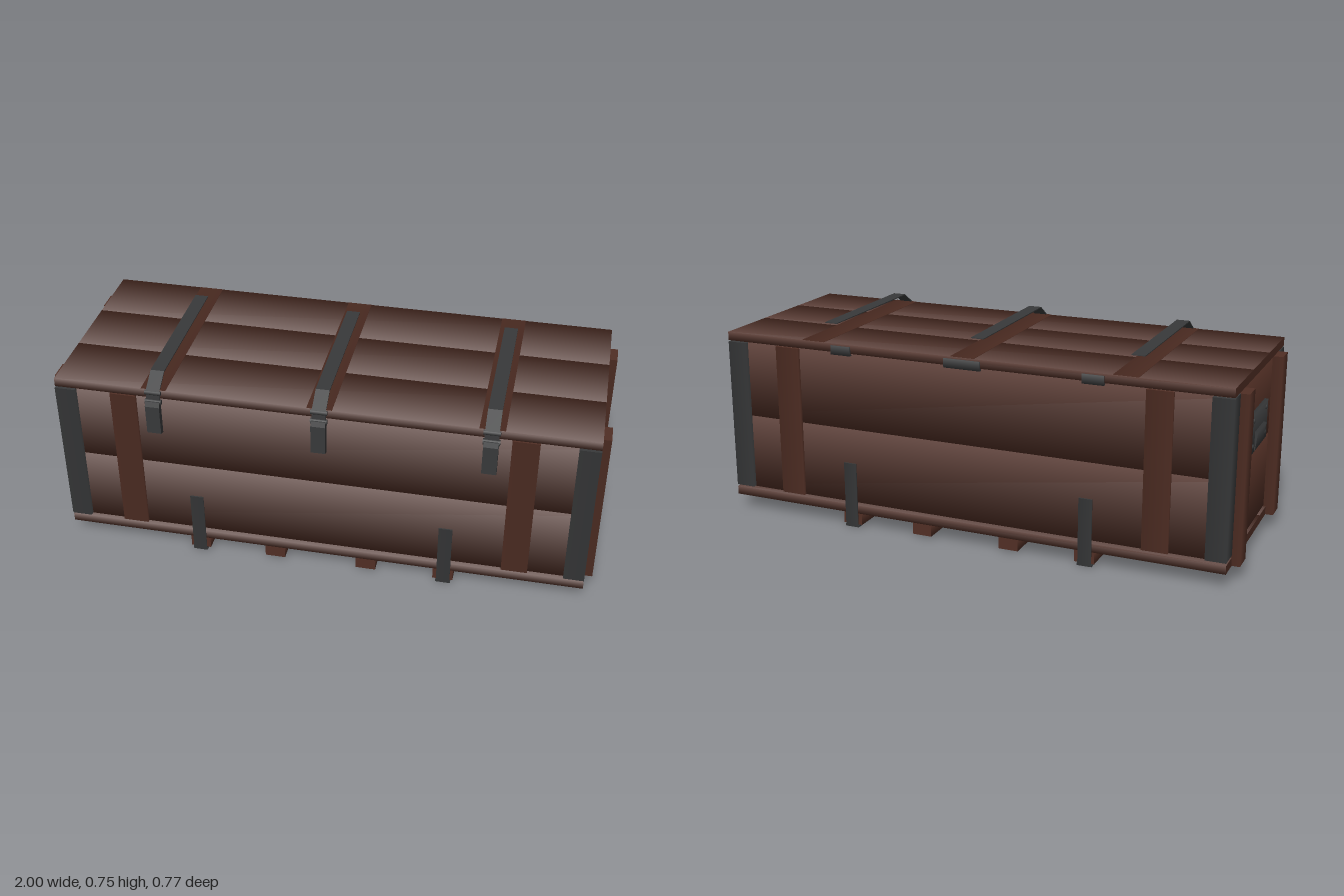
import * as THREE from 'three';

const wood = new THREE.MeshStandardMaterial({ color: 0x502e24 });
wood.name = 'brown wood';
const iron = new THREE.MeshStandardMaterial({ color: 0x38393a });
iron.name = 'dark iron';

const AXES = ['x', 'y', 'z'];

// Box from min/max corners; normals are rounded around its long axis, the ends stay flat.
function board(parent, name, material, axis, [x0, x1], [y0, y1], [z0, z1]) {
  const geo = new THREE.BoxGeometry(x1 - x0, y1 - y0, z1 - z0);
  const pos = geo.attributes.position;
  const nor = geo.attributes.normal;
  const n = new THREE.Vector3();
  const p = new THREE.Vector3();
  for (let i = 0; i < pos.count; i++) {
    n.fromBufferAttribute(nor, i);
    if (Math.abs(n[axis]) > 0.5) continue;
    p.fromBufferAttribute(pos, i);
    for (const a of AXES) n[a] = a === axis ? 0 : Math.sign(p[a]);
    n.normalize();
    nor.setXYZ(i, n.x, n.y, n.z);
  }
  const mesh = new THREE.Mesh(geo, material);
  mesh.name = name;
  mesh.position.set((x0 + x1) / 2, (y0 + y1) / 2, (z0 + z1) / 2);
  parent.add(mesh);
  return mesh;
}

// Closed (z, y) outline extruded across x
function sideProfile(parent, name, points, x, width) {
  const shape = new THREE.Shape(points.map(([z, y]) => new THREE.Vector2(-z, y)));
  const geo = new THREE.ExtrudeGeometry(shape, { depth: width, bevelEnabled: false });
  geo.translate(0, 0, -width / 2);
  geo.rotateY(Math.PI / 2);
  const mesh = new THREE.Mesh(geo, iron);
  mesh.name = name;
  mesh.position.x = x;
  parent.add(mesh);
}

function span(center, width) {
  return [center - width / 2, center + width / 2];
}

function mirrored(a, b, side) {
  return side > 0 ? [a, b] : [-b, -a];
}

export function createModel() {
  const crate = new THREE.Group();
  crate.name = 'crate';

  // Lid and floor, three boards each
  const seams = [-0.382, -0.131, 0.115, 0.362];
  for (let i = 0; i < 3; i++) {
    const z = [seams[i], seams[i + 1]];
    board(crate, 'lidBoard', wood, 'x', [-0.97, 0.97], [0.673, 0.705], z);
    board(crate, 'floorBoard', wood, 'x', [-0.97, 0.97], [0.055, 0.087], z);
  }

  // Walls, two planks high
  for (const y of [[0.093, 0.38], [0.38, 0.668]]) {
    board(crate, 'frontPlank', wood, 'x', [-0.955, 0.955], y, [0.32, 0.35]);
    board(crate, 'backPlank', wood, 'x', [-0.955, 0.955], y, [-0.367, -0.337]);
    for (const s of [1, -1]) {
      board(crate, 'endPlank', wood, 'z', mirrored(0.932, 0.962, s), y, [-0.34, 0.325]);
    }
  }

  for (const s of [1, -1]) {
    // Battens on the long walls
    const bx = mirrored(0.67, 0.765, s);
    board(crate, 'frontBatten', wood, 'y', bx, [0.093, 0.668], [0.34, 0.362]);
    board(crate, 'backBatten', wood, 'y', bx, [0.093, 0.668], [-0.379, -0.357]);

    // Battens on the ends
    const ex = mirrored(0.95, 1, s);
    board(crate, 'endBatten', wood, 'y', ex, [0.057, 0.668], [0.211, 0.29]);
    board(crate, 'endBatten', wood, 'y', ex, [0.057, 0.668], [-0.306, -0.228]);

    // Iron corners
    const cx = mirrored(0.895, 0.97, s);
    board(crate, 'cornerIron', iron, 'y', cx, [0.095, 0.668], [0.29, 0.367]);
    board(crate, 'cornerIron', iron, 'y', cx, [0.095, 0.668], [-0.383, -0.306]);

    // Handle plate, grip and rivets
    const handle = new THREE.Group();
    handle.name = 'endHandle';
    crate.add(handle);
    board(handle, 'handlePlate', iron, 'z', mirrored(0.958, 0.975, s), [0.395, 0.536], [-0.131, 0.115]);
    const grip = board(handle, 'handleGrip', iron, 'z', mirrored(0.968, 0.982, s), [0.4, 0.468], [-0.075, 0.055]);
    grip.rotation.z = -s * 0.12;
    for (const y of [0.421, 0.514]) {
      for (const z of [-0.1, 0.085]) {
        const rivet = new THREE.Mesh(new THREE.SphereGeometry(0.009, 10, 8), iron);
        rivet.name = 'rivet';
        rivet.scale.x = 0.5;
        rivet.position.set(s * 0.975, y, z);
        handle.add(rivet);
      }
    }
  }

  // Skids under the floor
  for (const x of [-0.465, -0.175, 0.17, 0.46]) {
    board(crate, 'skid', wood, 'z', span(x, 0.075), [0.01, 0.056], [-0.38, 0.362]);
  }

  // Iron straps wrapped around the outer skids
  for (const x of [-0.467, 0.462]) {
    board(crate, 'skidStrapBottom', iron, 'z', span(x, 0.055), [0, 0.008], [-0.385, 0.368]);
    board(crate, 'skidStrapFront', iron, 'y', span(x, 0.05), [0, 0.252], [0.364, 0.369]);
    board(crate, 'skidStrapBack', iron, 'y', span(x, 0.05), [0, 0.252], [-0.386, -0.381]);
  }

  // Lid straps with clasps
  const strap = [
    [-0.25, 0.746], [0.3, 0.748], [0.367, 0.703], [0.37, 0.64],
    [0.366, 0.64], [0.363, 0.7], [0.299, 0.744], [-0.25, 0.743],
  ];
  const clasp = [
    [0.364, 0.668], [0.38, 0.665], [0.388, 0.648], [0.388, 0.537], [0.366, 0.53],
  ];
  for (const x of [-0.6, 0, 0.6]) {
    board(crate, 'lidRunner', wood, 'z', span(x, 0.09), [0.703, 0.707], [-0.38, 0.36]);
    sideProfile(crate, 'lidStrap', strap, x, 0.05);
    sideProfile(crate, 'clasp', clasp, x, 0.052);
    board(crate, 'claspBuckle', iron, 'x', span(x, 0.06), [0.652, 0.668], [0.362, 0.376]);
    board(crate, 'claspBuckle', iron, 'x', span(x, 0.06), [0.69, 0.703], [0.358, 0.372]);
  }

  // Hinges on the back edge of the lid
  for (const [x, width] of [[-0.485, 0.08], [0, 0.14], [0.485, 0.08]]) {
    board(crate, 'hinge', iron, 'x', span(x, width), [0.664, 0.698], [-0.386, -0.376]);
  }

  return crate;
}
